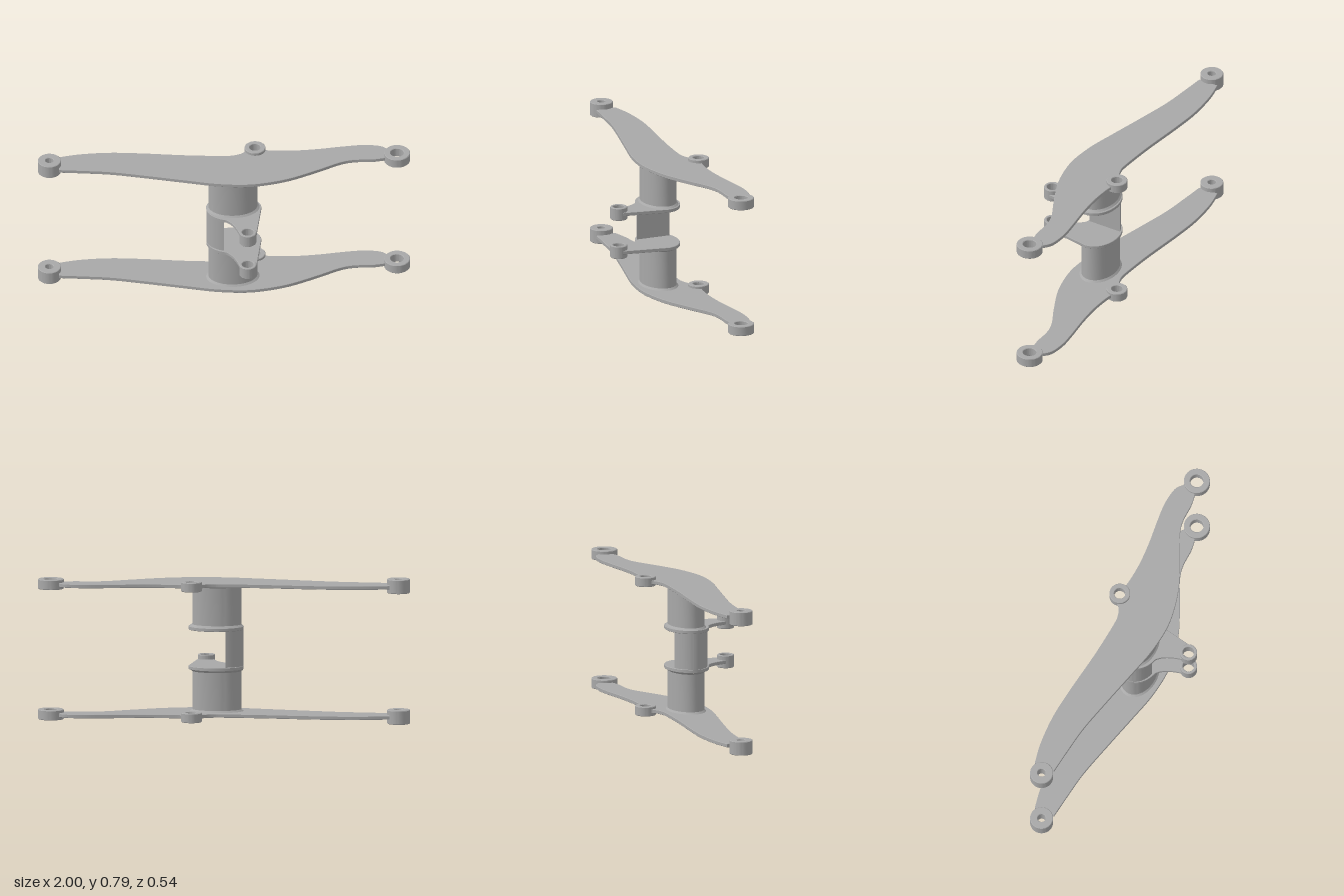
import * as THREE from 'three';
import { toCreasedNormals } from 'three/addons/utils/BufferGeometryUtils.js';

const MID = 0.3925; // height of the mirror plane between the two halves

export function createModel() {
  const model = new THREE.Group();
  model.name = 'doubleArmBracket';
  const metal = new THREE.MeshStandardMaterial({ color: 0xa8a8a8 });
  metal.name = 'grey metal';

  const add = (parent, name, geometry) => {
    const mesh = new THREE.Mesh(toCreasedNormals(geometry, 0.6), metal);
    mesh.name = name;
    parent.add(mesh);
  };

  // Horizontal slab between two heights; shape coordinates are (x, -z)
  const slab = (shape, y0, y1, bevel = 0) => {
    const g = new THREE.ExtrudeGeometry(shape, {
      depth: y1 - y0 - 2 * bevel, curveSegments: 24, bevelEnabled: bevel > 0,
      bevelThickness: bevel, bevelSize: bevel, bevelOffset: -bevel, bevelSegments: 1,
    });
    g.rotateX(-Math.PI / 2);
    return g.translate(0, y0 + bevel, 0);
  };

  const addHole = (shape, x, z, r) => {
    const hole = new THREE.Path();
    hole.absarc(x, -z, r, 0, Math.PI * 2, true);
    shape.holes.push(hole);
  };

  const ring = (x, z, r, hole, y0, y1) => {
    const s = new THREE.Shape();
    s.absarc(x, -z, r, 0, Math.PI * 2, false);
    addHole(s, x, z, hole);
    return slab(s, y0, y1, 0.003);
  };

  // Wavy long arm, outlined by smooth edges between its end bosses
  const v = (pts) => pts.map(([x, z]) => new THREE.Vector2(x, -z));
  const arm = new THREE.Shape();
  arm.moveTo(-0.89, 0.085);
  arm.splineThru(v([[-0.75, -0.07], [-0.6, -0.05], [-0.4, -0.004], [-0.2, 0.045], [-0.05, 0.08],
    [0.1, 0.095], [0.22, 0.083], [0.35, 0.048], [0.5, -0.02], [0.62, -0.08], [0.7, -0.1],
    [0.8, -0.1], [0.875, -0.112]]));
  arm.lineTo(0.885, 0.188);
  arm.splineThru(v([[0.84, -0.22], [0.75, -0.232], [0.65, -0.225], [0.5, -0.207], [0.37, -0.2],
    [0.26, -0.206], [0.215, -0.215]]));
  arm.lineTo(0.17, 0.18);
  arm.lineTo(0.12, 0.212);
  arm.splineThru(v([[0.1, -0.19], [0.06, -0.174], [0, -0.17], [-0.2, -0.185], [-0.45, -0.215],
    [-0.62, -0.228], [-0.78, -0.22], [-0.895, -0.198]]));
  arm.closePath();

  // Oval inner plate with a tapering tab towards the front
  const plate = new THREE.Shape();
  plate.absellipse(0.047, 0.03, 0.148, 0.115, 0, 4.39, false);
  plate.quadraticCurveTo(0.045, -0.11, 0.068, -0.21);
  plate.absarc(0.11, -0.225, 0.045, 2.8, Math.PI * 2, false);
  plate.closePath();
  addHole(plate, 0.11, 0.225, 0.031);

  // Oval column with a small flare at each end
  const column = (y0, y1) => {
    const pts = [[1.1, y0], [1, y0 + 0.011], [1, y1 - 0.011], [1.1, y1]];
    const g = new THREE.LatheGeometry(pts.map(([r, y]) => new THREE.Vector2(r, y)), 48);
    return g.scale(0.132, 1, 0.092).translate(0.042, 0, -0.036);
  };

  for (const side of [1, -1]) {
    const half = new THREE.Group();
    half.name = side > 0 ? 'upperHalf' : 'lowerHalf';
    model.add(half);
    // Heights measured outwards from the mirror plane
    const span = (a, b) => side > 0 ? [MID + a, MID + b] : [MID - b, MID - a];
    add(half, 'longArm', slab(arm, ...span(0.343, 0.363), 0.002));
    add(half, 'smallEndBoss', ring(-0.94, -0.135, 0.062, 0.022, ...span(0.317, 0.3925)));
    add(half, 'largeEndBoss', ring(0.93, -0.132, 0.07, 0.036, ...span(0.327, 0.38)));
    add(half, 'middleBoss', ring(0.17, -0.217, 0.056, 0.03, ...span(0.329, 0.38)));
    add(half, 'column', column(...span(0.116, 0.344)));
    add(half, 'tabPlate', slab(plate, ...span(0.098, 0.117), 0.002));
    add(half, 'tabBoss', ring(0.11, 0.225, 0.046, 0.031, ...span(0.073, 0.142)));
  }

  // Half-oval web joining the two inner plates
  const web = new THREE.Shape();
  web.absellipse(0.047, 0.03, 0.147, 0.1036, 1.969, Math.PI * 2 - 1.969, false);
  web.closePath();
  add(model, 'centreWeb', slab(web, MID - 0.099, MID + 0.099));

  return model;
}
